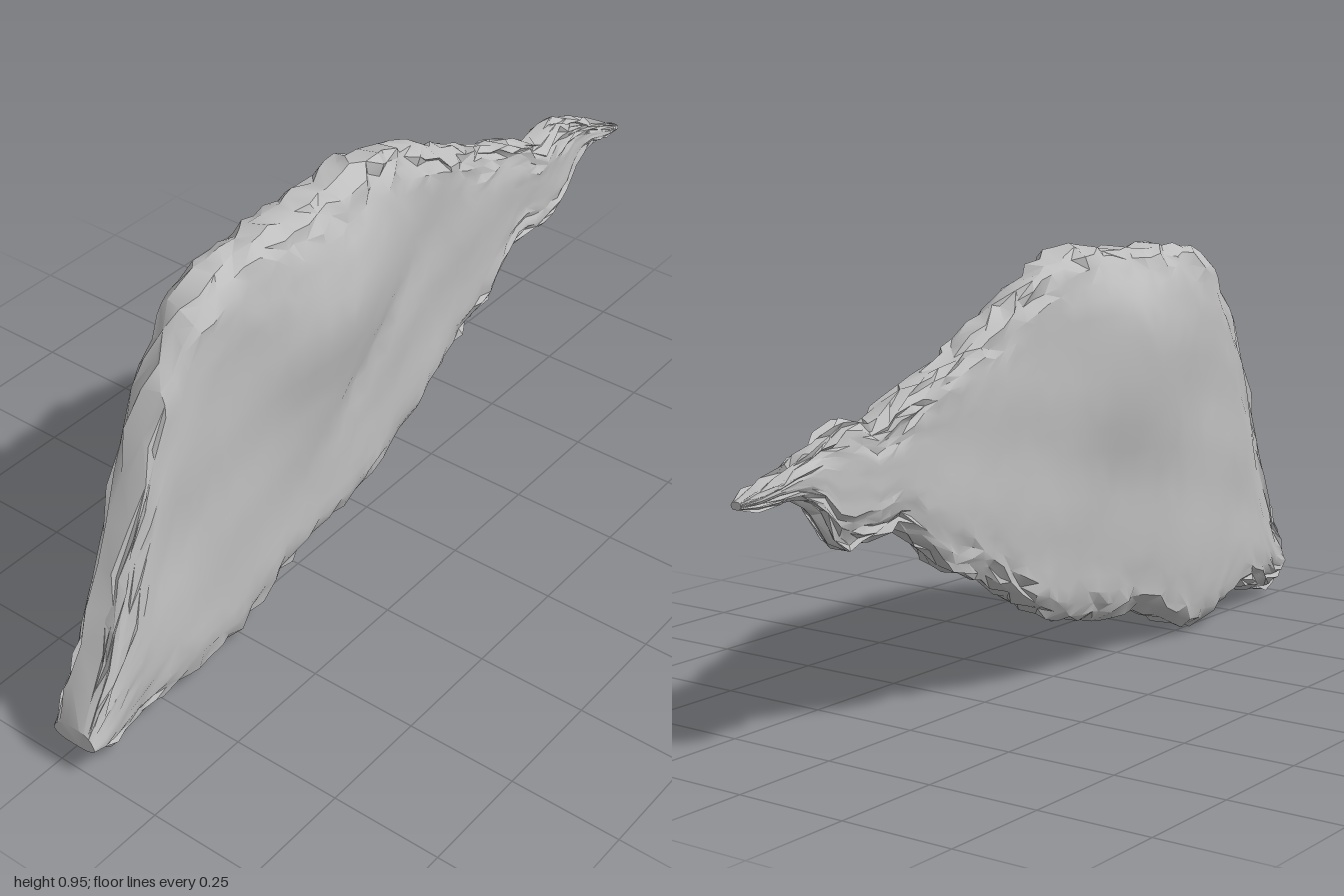
import * as THREE from 'three';
import { toCreasedNormals } from 'three/addons/utils/BufferGeometryUtils.js';

// Each list holds [z, value] pairs running from the front tip to the tail
const TOP = [[1, .11], [.885, .33], [.795, .55], [.7, .755], [.6, .88], [.51, .915], [.43, .93], [.245, .93], [.075, .945],
  [-.02, .935], [-.155, .885], [-.26, .83], [-.395, .765], [-.555, .705], [-.66, .65], [-.725, .68], [-.82, .64], [-.93, .585], [-1, .555]];
const BOTTOM = [[1, .065], [.94, .013], [.86, .035], [.75, .05], [.565, .005], [.46, .03], [.29, .1], [.11, .11], [-.02, .135], [-.155, .19],
  [-.29, .275], [-.44, .33], [-.475, .365], [-.58, .44], [-.74, .42], [-.79, .45], [-.82, .515], [-.9, .55], [-.98, .535], [-1, .54]];
const LEFT = [[1, .095], [.9, .08], [.6, .07], [.2, .07], [0, .055], [-.2, .032], [-.4, .022], [-.65, .018], [-.8, 0], [-1, 0]];
const RIGHT = [[1, -.015], [.95, -.025], [.8, -.04], [.6, -.062], [.2, -.075], [0, -.07], [-.2, -.065], [-.75, -.068], [-.9, -.06], [-1, -.02]];

function sample(list, z) {
  let k = 0;
  while (k < list.length - 2 && list[k + 1][0] > z) k++;
  const [z0, a] = list[k], [z1, b] = list[k + 1];
  return a + (b - a) * (z0 - z) / (z0 - z1);
}

const bump = (z, y, cz, cy, r) => Math.exp(-((z - cz) ** 2 + (y - cy) ** 2) / (r * r));

// Repeatable value from -1 to 1
function hash(i, j) {
  const s = Math.sin(i * 127.1 + j * 311.7) * 43758.5453;
  return (s - Math.floor(s)) * 2 - 1;
}

// Swollen, gently uneven broad faces, with a diagonal crease on the left one
function faceX(side, z, y) {
  const uneven = .004 * Math.sin(13 * z + 9 * y + side) * Math.sin(17 * y - 6 * z + 2 * side);
  if (side < 0) return sample(RIGHT, z) - .05 * bump(z, y, .2, .7, .22) + uneven;
  const along = (z - .07) * -.82 + (y - .5) * .57;
  const across = (z - .07) * .57 + (y - .5) * .82;
  const crease = .018 * Math.exp(-((along / .2) ** 2) - ((across + .015) / .04) ** 2);
  return sample(LEFT, z) + .046 * bump(z, y, .18, .68, .18) + .025 * bump(z, y, .75, .14, .2) - crease + uneven;
}

function stoneGeometry() {
  const SECTIONS = 54, HALF = 22, RING = HALF * 2;
  const points = [], index = [];
  for (let i = 0; i <= SECTIONS; i++) {
    const z = 1 - 2 * i / SECTIONS;
    const top = sample(TOP, z), low = sample(BOTTOM, z);
    const slopeTop = (sample(TOP, z + .03) - sample(TOP, z - .03)) / .06;
    const tilt = 1 / Math.hypot(1, slopeTop);
    const tip = i === 0 || i === SECTIONS;
    // The crown tapers more gradually than the other edges
    const topRadius = Math.min(.09 + .09 * bump(z, 0, .25, 0, .3), (top - low) * .4);
    const lowRadius = Math.min(.1, (top - low) * .4);
    for (let j = 0; j < RING; j++) {
      // Up the left face, then down the right face
      const side = j < HALF ? 1 : -1;
      const u = (j % HALF) / (HALF - 1);
      const t = .6 * (1 - Math.cos(Math.PI * u)) / 2 + .4 * u;
      const f = side > 0 ? t : 1 - t;
      let y = low + (top - low) * f;
      const inset = Math.min((top - y) * tilt / topRadius, (y - low) / lowRadius);
      const round = THREE.MathUtils.clamp(inset, 0, 1);
      const width = .3 + .7 * Math.sqrt(round * (2 - round));
      const l = faceX(1, z, y), r = faceX(-1, z, y);
      const middle = (l + r) / 2;
      const chip = tip ? 0 : 1 - round;
      const x = middle + ((side > 0 ? l : r) - middle) * width
        + hash(i, j) * (.012 * chip + .001);
      y += hash(j + 3, i + 7) * .008 * chip;
      const dz = hash(i + 11, j + 5) * .011 * chip;
      points.push(x, Math.max(0, y), z + dz);
    }
  }
  for (let i = 0; i < SECTIONS; i++) {
    for (let j = 0; j < RING; j++) {
      const k = (j + 1) % RING;
      const a = i * RING + j, b = i * RING + k, c = a + RING, d = b + RING;
      if (hash(i, j + 50) > 0) index.push(a, c, b, b, c, d);
      else index.push(a, c, d, a, d, b);
    }
  }
  // Close the blunt front and the tail tip
  const last = SECTIONS * RING;
  for (let j = 1; j < RING - 1; j++) {
    index.push(0, j, j + 1, last, last + j + 1, last + j);
  }
  const geometry = new THREE.BufferGeometry();
  geometry.setAttribute('position', new THREE.Float32BufferAttribute(points, 3));
  geometry.setIndex(index);
  return toCreasedNormals(geometry, Math.PI / 6);
}

export function createModel() {
  const group = new THREE.Group();
  group.name = 'stoneFlake';
  const stone = new THREE.MeshStandardMaterial({ color: 0xbebebe });
  stone.name = 'grey stone';
  const body = new THREE.Mesh(stoneGeometry(), stone);
  body.name = 'stoneBody';
  group.add(body);
  return group;
}
